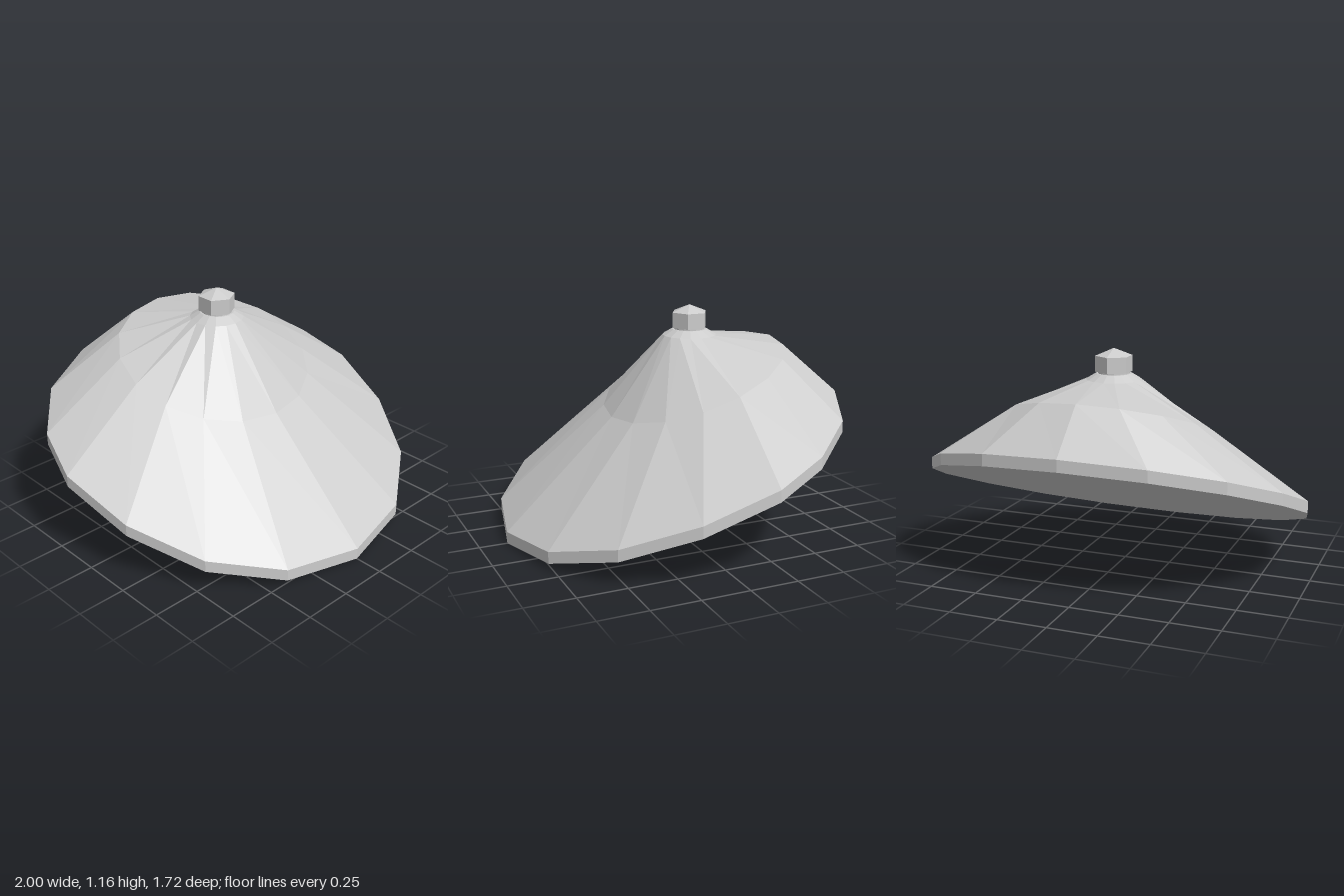
import * as THREE from 'three';

const SIDES = 16;

// Ellipse ring around the z axis offset cz; height given by a rule of z
function ellipse(rx, rz, cz, height) {
  return Array.from({ length: SIDES }, (_, i) => {
    const a = (i / SIDES) * Math.PI * 2;
    const z = cz + rz * Math.cos(a);
    return [rx * Math.sin(a), height(z), z];
  });
}

// Skins a stack of rings from bottom to top, closing both ends with fans
function loft(rings, bottom, top) {
  const pos = [];
  const tri = (...corners) => corners.forEach((c) => pos.push(...c));
  const last = rings[rings.length - 1];
  for (let i = 0; i < SIDES; i++) {
    const j = (i + 1) % SIDES;
    tri(bottom, rings[0][j], rings[0][i]);
    for (let r = 0; r < rings.length - 1; r++) {
      const lo = rings[r], hi = rings[r + 1];
      tri(lo[i], lo[j], hi[i]);
      tri(lo[j], hi[j], hi[i]);
    }
    tri(last[i], last[j], top);
  }
  const geo = new THREE.BufferGeometry();
  geo.setAttribute('position', new THREE.Float32BufferAttribute(pos, 3));
  geo.computeVertexNormals();
  return geo;
}

export function createModel() {
  const group = new THREE.Group();
  const material = new THREE.MeshStandardMaterial({ color: 0xcccccc, flatShading: true });
  const add = (name, geometry, y = 0, z = 0) => {
    const mesh = new THREE.Mesh(geometry, material);
    mesh.name = name;
    mesh.position.set(0, y, z);
    group.add(mesh);
  };

  // Tilted rim outline: half of it from front to back, mirrored in x
  const half = [[0, 0.855], [0.41, 0.77], [0.73, 0.54], [0.93, 0.21], [1, -0.145],
    [0.93, -0.4], [0.73, -0.64], [0.41, -0.8], [0, -0.86]];
  const outline = [...half, ...half.slice(1, -1).reverse().map(([x, z]) => [-x, z])];
  const rim = (lift) => outline.map(([x, z]) => [x, (0.855 - z) * 0.402 + lift, z]);

  // Tilted cone canopy: rim band, sloping shoulder, level neck
  const cz = -0.16;
  add('canopy', loft([
    rim(0),
    rim(0.06),
    ellipse(0.53, 0.46, -0.18, (z) => 0.6 + (0.28 - z) * 0.391),
    ellipse(0.14, 0.14, cz, () => 1.0),
    ellipse(0.09, 0.09, cz, () => 1.03),
  ], [0, 0.39, cz], [0, 1.03, cz]));

  // Hexagonal cap with a low pyramid on top
  add('capNeck', new THREE.CylinderGeometry(0.08, 0.08, 0.02, 16), 1.033, cz);
  add('cap', new THREE.CylinderGeometry(0.095, 0.095, 0.08, 6), 1.078, cz);
  add('capPoint', new THREE.ConeGeometry(0.095, 0.038, 6, 1, true), 1.137, cz);
  return group;
}
